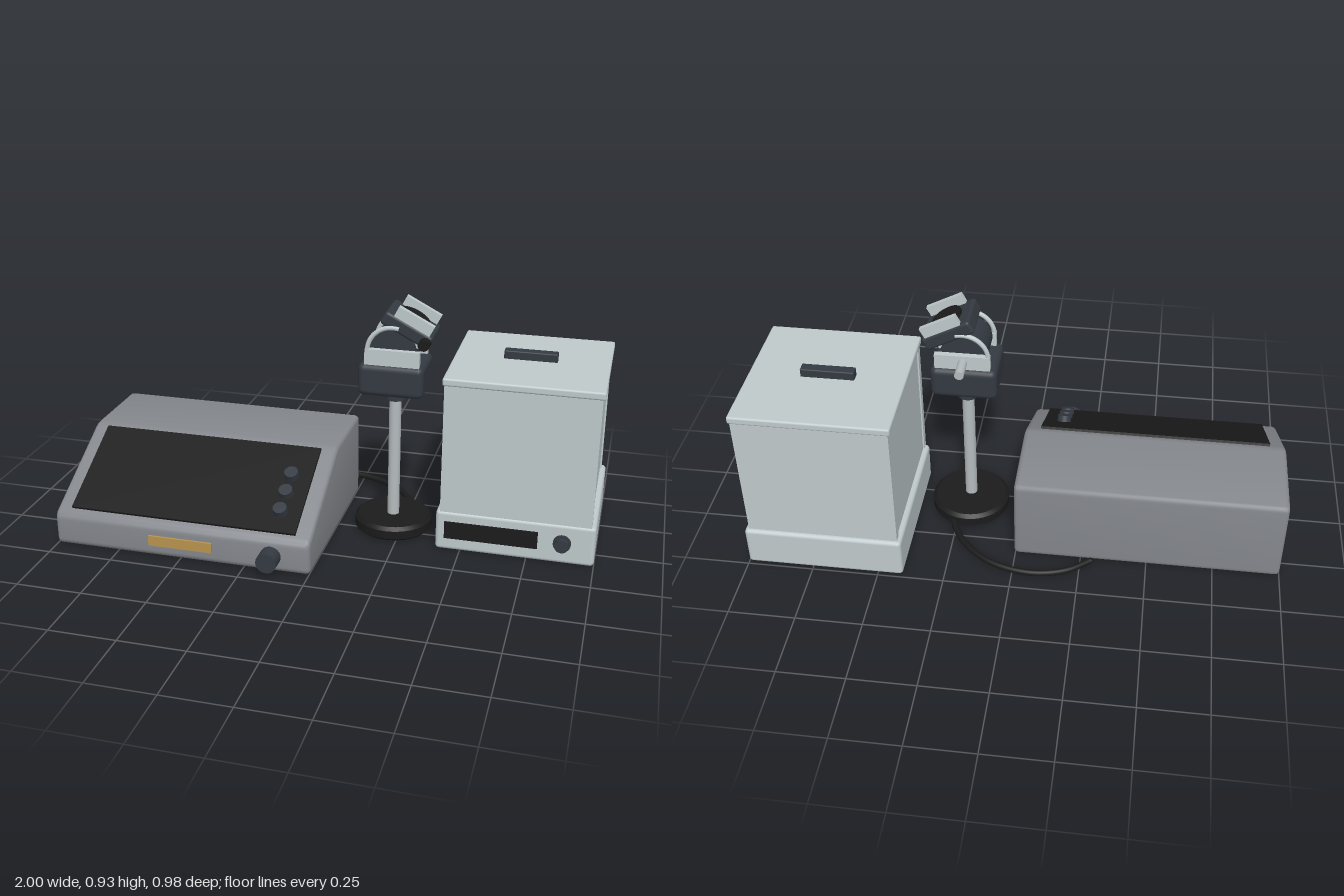
import * as THREE from 'three';
import { toCreasedNormals } from 'three/addons/utils/BufferGeometryUtils.js';
import { RoundedBoxGeometry } from 'three/addons/geometries/RoundedBoxGeometry.js';

const paint = (name, color) => Object.assign(new THREE.MeshStandardMaterial({ color }), { name });

export function createModel() {
  const grey = paint('housing grey', 0x85888d);
  const dark = paint('dark slate', 0x343a42);
  const black = paint('black', 0x1b1b1c);
  const light = paint('pale grey', 0xbfc9cb);
  const metal = paint('rod metal', 0xb4babd);
  const gold = paint('gold plate', 0xb8944f);

  const root = new THREE.Group();
  const group = (name, parent = root) => {
    const g = new THREE.Group();
    g.name = name;
    parent.add(g);
    return g;
  };
  const add = (parent, name, geometry, material, x = 0, y = 0, z = 0) => {
    const m = new THREE.Mesh(geometry, material);
    m.name = name;
    m.position.set(x, y, z);
    parent.add(m);
    return m;
  };
  // Box given by its extents, optionally with rounded edges
  const box = (parent, name, mat, [x0, x1], [y0, y1], [z0, z1], r = 0) => {
    const s = [x1 - x0, y1 - y0, z1 - z0];
    const geo = r ? new RoundedBoxGeometry(...s, 3, r) : new THREE.BoxGeometry(...s);
    return add(parent, name, geo, mat, (x0 + x1) / 2, (y0 + y1) / 2, (z0 + z1) / 2);
  };
  const cyl = (r, h, axis = 'y', top = r) => {
    const g = new THREE.CylinderGeometry(top, r, h, 40);
    return axis === 'z' ? g.rotateX(Math.PI / 2) : g;
  };

  // ---- Control console: wedge profile (z, y) swept across x ----
  const consoleGroup = group('controlConsole');
  const profile = [[0.43, 0], [0.43, 0.128], [0.02, 0.342], [-0.325, 0.342], [-0.325, 0]]
    .map(p => new THREE.Vector2(...p));
  const shape = new THREE.Shape();
  profile.forEach((p, i) => {
    const prev = profile[(i + 4) % 5], next = profile[(i + 1) % 5];
    const a = p.clone().add(prev.clone().sub(p).setLength(0.025));
    const b = p.clone().add(next.clone().sub(p).setLength(0.025));
    if (i) shape.lineTo(a.x, a.y); else shape.moveTo(a.x, a.y);
    shape.quadraticCurveTo(p.x, p.y, b.x, b.y);
  });
  shape.closePath();
  const wedge = new THREE.ExtrudeGeometry(shape, {
    depth: 0.97, bevelSize: 0.018, bevelThickness: 0.018, bevelOffset: -0.018,
    bevelSegments: 3, curveSegments: 5,
  });
  wedge.rotateY(-Math.PI / 2);
  add(consoleGroup, 'consoleHousing', toCreasedNormals(wedge, 0.55), grey, -0.013, 0, 0);

  // Sloped panel with three buttons
  const panel = group('slopedPanel', consoleGroup);
  panel.position.set(-0.498, 0.2375, 0.22);
  panel.rotation.x = Math.atan(0.522);
  box(panel, 'panelPlate', black, [-0.442, 0.442], [-0.003, 0.01], [-0.203, 0.203]);
  for (const z of [-0.057, 0.027, 0.111]) {
    add(panel, 'panelButton', cyl(0.028, 0.03, 'y', 0.026), dark, 0.363, 0.02, z);
  }
  box(consoleGroup, 'frontLabel', gold, [-0.62, -0.37], [0.047, 0.087], [0.429, 0.438]);
  add(consoleGroup, 'frontKnob', cyl(0.039, 0.064, 'z'), dark, -0.143, 0.064, 0.458);

  // ---- Weighing cabinet ----
  const cabinet = group('weighingCabinet');
  box(cabinet, 'cabinetBase', light, [0.405, 1], [0, 0.16], [-0.49, 0.1], 0.015);
  box(cabinet, 'frontPane', light, [0.42, 0.984], [0.155, 0.665], [0.065, 0.095]);
  box(cabinet, 'backPane', light, [0.42, 0.984], [0.155, 0.665], [-0.475, -0.443]);
  box(cabinet, 'sidePanes', light, [0.426, 0.978], [0.155, 0.665], [-0.445, 0.067]);
  box(cabinet, 'cabinetLid', light, [0.412, 0.993], [0.66, 0.69], [-0.48, 0.1], 0.008);
  box(cabinet, 'lidHandle', dark, [0.598, 0.798], [0.685, 0.722], [-0.212, -0.172], 0.005);
  box(cabinet, 'displayWindow', black, [0.44, 0.79], [0.052, 0.12], [0.099, 0.107]);
  add(cabinet, 'cabinetButton', cyl(0.033, 0.014, 'z'), dark, 0.88, 0.086, 0.104);
  add(cabinet, 'cabinetButtonCap', cyl(0.026, 0.022, 'z'), dark, 0.88, 0.086, 0.12);

  // ---- Stand ----
  const stand = group('stand');
  const foot = [[0, 0.003], [0.14, 0.003], [0.15, 0.012], [0.15, 0.045], [0.137, 0.058], [0, 0.058]]
    .map(p => new THREE.Vector2(...p));
  add(stand, 'standFoot', toCreasedNormals(new THREE.LatheGeometry(foot, 48), 0.5), black, 0.212, 0, -0.052);
  add(stand, 'standPole', cyl(0.023, 0.51), metal, 0.212, 0.305, -0.045);
  add(stand, 'poleCollar', cyl(0.04, 0.05), dark, 0.212, 0.565, -0.045);

  // ---- Tilting mount ----
  const mount = group('tiltingMount');
  box(mount, 'mountBody', dark, [0.09, 0.337], [0.583, 0.708], [-0.135, 0.075], 0.024);
  add(mount, 'trunnion', cyl(0.086, 0.14, 'z'), dark, 0.215, 0.752, -0.028);
  for (const z of [0.053, -0.109]) {
    box(mount, 'mountCheek', light, [0.115, 0.32], [0.704, 0.764], [z - 0.011, z + 0.011]);
    add(mount, 'tiltArc', new THREE.TorusGeometry(0.094, 0.009, 8, 24, Math.PI * 0.6),
      light, 0.217, 0.755, z).rotation.z = Math.PI * 0.42;
  }
  add(mount, 'rearRod', cyl(0.017, 0.09, 'z'), metal, 0.215, 0.737, -0.157);

  // Tilted head with rails, lens and clamp knob
  const head = group('tiltedHead', mount);
  head.position.set(0.268, 0.842, -0.03);
  head.rotation.z = -0.48;
  box(head, 'headSlab', dark, [-0.1, 0.1], [-0.027, 0.027], [-0.085, 0.085], 0.012);
  box(head, 'headSupport', light, [-0.05, 0.07], [-0.05, -0.02], [-0.05, 0.05]);
  for (const z of [-0.071, 0.071]) {
    box(head, 'headRail', light, [-0.066, 0.082], [0.02, 0.066], [z - 0.01, z + 0.01]);
  }
  add(head, 'lensDisc', cyl(0.06, 0.016), black, 0, 0.031, 0);
  add(mount, 'clampKnob', cyl(0.021, 0.05, 'z'), black, 0.338, 0.802, 0.063);

  // ---- Cable lying between console and stand ----
  const path = new THREE.CatmullRomCurve3([
    [-0.29, -0.3], [-0.29, -0.345], [-0.2, -0.408], [-0.07, -0.435], [0.08, -0.4], [0.19, -0.315], [0.25, -0.22], [0.268, -0.15],
  ].slice(1).map(([x, z]) => new THREE.Vector3(x, 0.018, z)));
  add(root, 'cable', new THREE.TubeGeometry(path, 48, 0.012, 10), black);
  add(root, 'cableEnd', new THREE.SphereGeometry(0.012, 10, 8), black, -0.29, 0.018, -0.345);

  return root;
}
